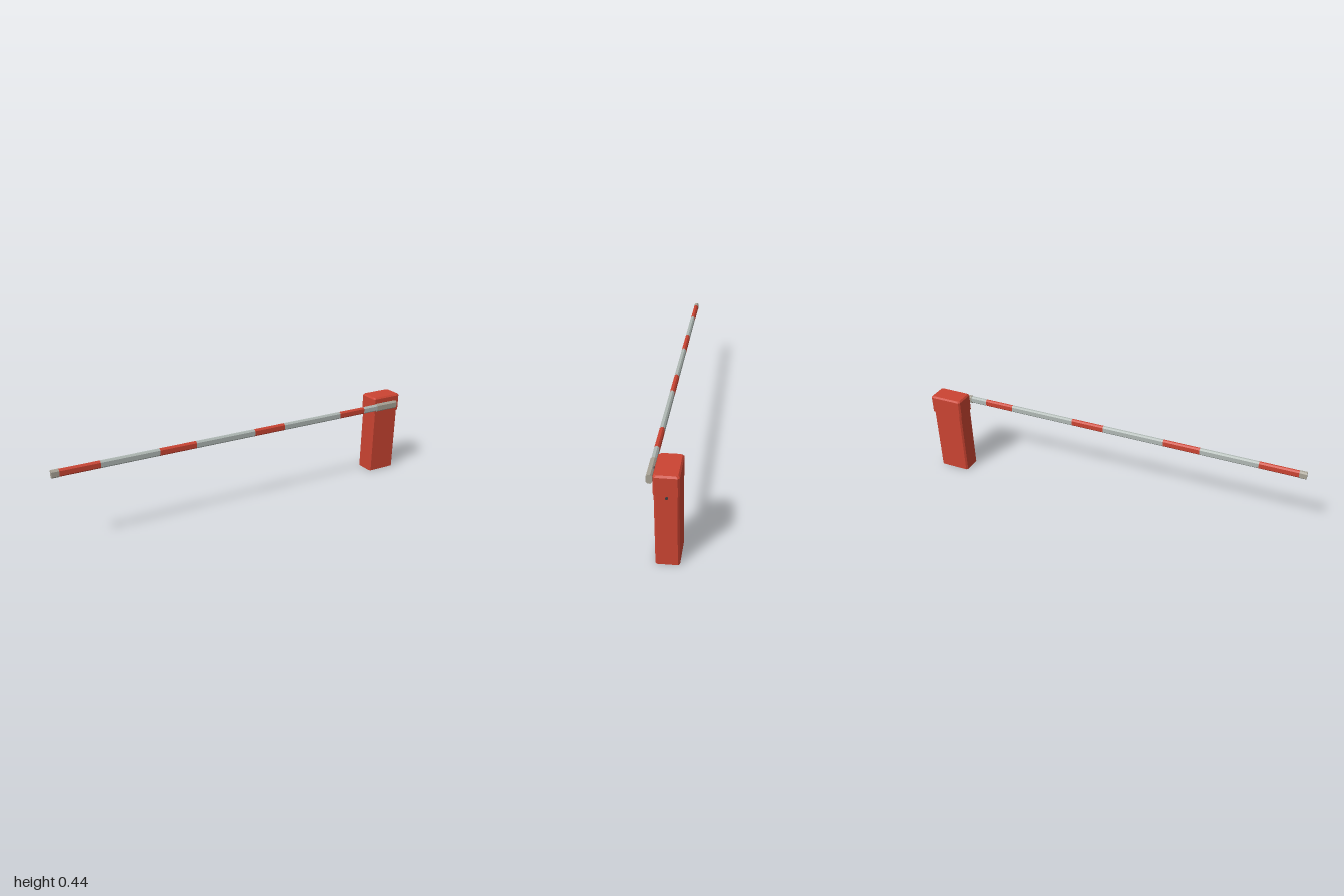
import * as THREE from 'three';

const mat = (name, color, extra = {}) => new THREE.MeshStandardMaterial({ name, color, ...extra });

// Box with chamfered long edges, lofted along y through [y, inset] sections
function chamferedPrism(w, d, c, sections) {
  const ring = ([y, inset]) => {
    const a = w / 2 - inset, b = d / 2 - inset;
    return [[a, b - c], [a, c - b], [a - c, -b], [c - a, -b], [-a, c - b], [-a, b - c], [c - a, b], [a - c, b]]
      .map(([x, z]) => [x, y, z]);
  };
  const rings = sections.map(ring), pos = [];
  const tri = (...pts) => pts.forEach((p) => pos.push(...p));
  const first = rings[0], last = rings[rings.length - 1];
  for (let i = 0; i < 8; i++) {
    const j = (i + 1) % 8;
    for (let k = 0; k + 1 < rings.length; k++) {
      const lo = rings[k], hi = rings[k + 1];
      tri(lo[i], lo[j], hi[j]);
      tri(lo[i], hi[j], hi[i]);
    }
    tri([0, last[0][1], 0], last[i], last[j]);
    tri([0, first[0][1], 0], first[j], first[i]);
  }
  const g = new THREE.BufferGeometry();
  g.setAttribute('position', new THREE.Float32BufferAttribute(pos, 3));
  g.computeVertexNormals();
  return g;
}

export function createModel() {
  const group = new THREE.Group();
  group.name = 'barrierGate';
  const red = mat('red', 0xcb4432);
  const white = mat('greyWhite', 0xb0b9b5);
  const beige = mat('warmGrey', 0xa8a396);
  const dark = mat('darkMetal', 0x3c3c40);

  const add = (name, geometry, material, x, y, z) => {
    const mesh = new THREE.Mesh(geometry, material);
    mesh.name = name;
    mesh.position.set(x, y, z);
    group.add(mesh);
  };

  // Cabinet and its overhanging hood
  add('cabinet', chamferedPrism(0.165, 0.103, 0.008, [[0, 0], [0.35, 0]]), red, 0.908, 0, -0.0145);
  add('hood', chamferedPrism(0.178, 0.108, 0.008, [[0.348, 0], [0.432, 0], [0.44, 0.007]]), red, 0.909, 0, -0.015);

  // Lock on the side of the cabinet
  const lock = new THREE.CylinderGeometry(0.006, 0.006, 0.008, 16).rotateZ(Math.PI / 2);
  add('lock', lock, dark, 0.991, 0.335, -0.016);

  // Pivot shaft carrying the boom
  const shaft = new THREE.CylinderGeometry(0.017, 0.017, 0.02, 24).rotateX(Math.PI / 2);
  add('pivotShaft', shaft, dark, 0.89, 0.393, 0.043);

  // Boom sections between successive x stations
  const boomPart = (name, x0, x1, material, h = 0.036, d = 0.022) => add(name,
    chamferedPrism(h, d, 0.007, [[x0, 0], [x1, 0]]).rotateZ(-Math.PI / 2), material, 0, 0.393, 0.0595);
  const stations = [-0.964, -0.772, -0.478, -0.286, 0.04, 0.216, 0.569, 0.729, 0.82];
  for (let i = 0; i + 1 < stations.length; i++) {
    const isRed = i % 2 === 0;
    boomPart(isRed ? 'boomRedBand' : 'boomWhiteBand', stations[i], stations[i + 1], isRed ? red : white);
  }
  boomPart('boomTipCap', -1, -0.964, beige, 0.038, 0.024);
  boomPart('boomClamp', 0.82, 0.953, beige, 0.041, 0.025);

  return group;
}
